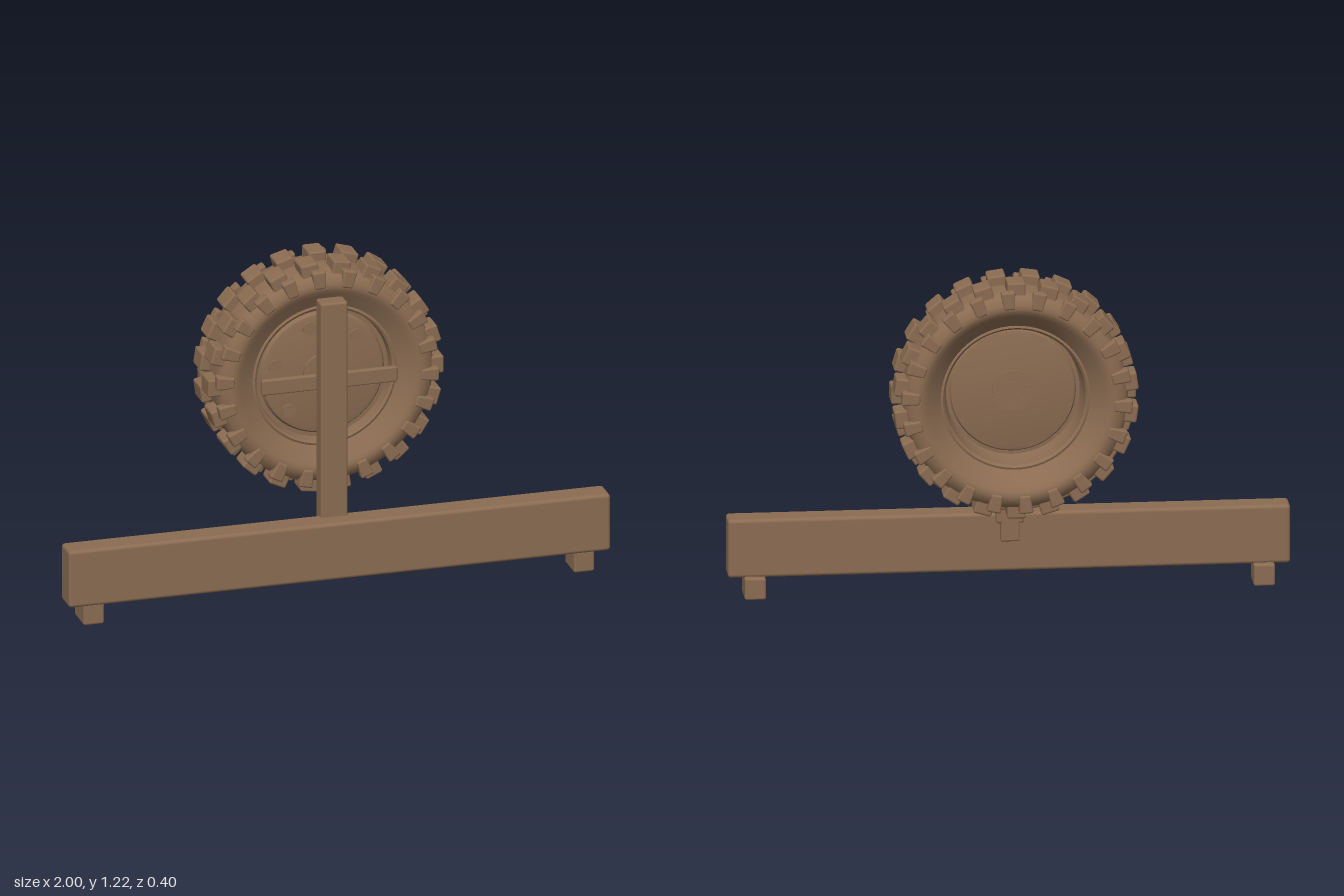
import * as THREE from 'three';
import { toCreasedNormals } from 'three/addons/utils/BufferGeometryUtils.js';
import { RoundedBoxGeometry } from 'three/addons/geometries/RoundedBoxGeometry.js';

const WHEEL_Y = 0.782;
const LUGS = 22;

export function createModel() {
  const model = new THREE.Group();
  model.name = 'spareWheelCarrier';
  const brown = new THREE.MeshStandardMaterial({ color: 0x8b6c52 });
  brown.name = 'brown';

  function add(parent, name, geometry, x = 0, y = 0, z = 0) {
    const mesh = new THREE.Mesh(geometry, brown);
    mesh.name = name;
    mesh.position.set(x, y, z);
    parent.add(mesh);
    return mesh;
  }

  // Rounded box given by its limits on each axis
  function block(name, [x0, x1], [y0, y1], [z0, z1], r = 0.01) {
    const g = new RoundedBoxGeometry(x1 - x0, y1 - y0, z1 - z0, 2, r);
    return add(model, name, g, (x0 + x1) / 2, (y0 + y1) / 2, (z0 + z1) / 2);
  }

  // Profile of [radius, z] turned around the wheel axis
  function turned(name, points) {
    const g = new THREE.LatheGeometry(points.map(([r, z]) => new THREE.Vector2(r, z)), 64);
    g.rotateX(Math.PI / 2);
    return add(wheel, name, toCreasedNormals(g, 0.55));
  }

  // Short cylinder along the wheel axis
  function stud(name, radius, z0, z1, x = 0, y = 0) {
    const g = new THREE.CylinderGeometry(radius, radius, z1 - z0, 24).rotateX(Math.PI / 2);
    return add(wheel, name, g, x, y, (z0 + z1) / 2);
  }

  // Bumper, feet and carrier
  block('bumper', [-1, 1], [0.075, 0.29], [0.1, 0.2], 0.013);
  for (const s of [-1, 1]) {
    block('foot', [s * 0.905 - 0.038, s * 0.905 + 0.038], [0, 0.08], [0.075, 0.19], 0.008);
  }
  block('post', [-0.05, 0.05], [0.26, 1.1], [0.066, 0.132], 0.009);
  block('postPeg', [-0.034, 0.034], [0.193, 0.275], [0.066, 0.11], 0.007);
  block('crossBar', [-0.25, 0.25], [0.753, 0.81], [0.053, 0.075], 0.006);

  const wheel = new THREE.Group();
  wheel.name = 'wheel';
  wheel.position.y = WHEEL_Y;
  model.add(wheel);

  // Tyre body from rear bead, over the tread, to front bead
  turned('tyre', [
    [0.266, -0.125], [0.29, -0.15], [0.315, -0.173], [0.332, -0.187], [0.345, -0.191],
    [0.36, -0.189], [0.383, -0.178], [0.396, -0.16], [0.4, -0.13], [0.401, -0.07],
    [0.4, -0.01], [0.396, 0.02], [0.383, 0.038], [0.36, 0.049], [0.345, 0.051],
    [0.332, 0.047], [0.315, 0.037], [0.29, 0.022], [0.266, 0.008],
  ]);
  // Rim, deep at the rear and shallow at the front
  turned('rimRear', [
    [0, -0.034], [0.205, -0.034], [0.22, -0.03], [0.225, -0.022], [0.238, -0.022],
    [0.244, -0.04], [0.25, -0.118], [0.258, -0.128], [0.266, -0.125],
  ]);
  turned('rimFront', [
    [0.266, 0.008], [0.258, 0.012], [0.25, 0.006], [0.245, -0.03], [0.23, -0.03],
    [0.222, -0.018], [0.205, -0.014], [0, -0.014],
  ]);

  // Hub and studs
  stud('hub', 0.075, -0.04, 0.0);
  stud('axle', 0.035, -0.044, 0.06);
  for (let i = 0; i < 6; i++) {
    const a = THREE.MathUtils.degToRad(46 + i * 60);
    stud('rimStud', 0.025, -0.03, -0.007, 0.18 * Math.cos(a), 0.18 * Math.sin(a));
    stud('hubBolt', 0.009, -0.046, 0.005, 0.055 * Math.cos(a), 0.055 * Math.sin(a));
  }

  // Ring of lugs; offset is a fraction of the spacing
  function lugRing(name, geometry, radius, z, offset) {
    for (let i = 0; i < LUGS; i++) {
      const a = (i + offset) / LUGS * Math.PI * 2;
      const lug = add(wheel, name, geometry, radius * Math.cos(a), radius * Math.sin(a), z);
      lug.rotation.z = a;
    }
  }
  const treadLug = new RoundedBoxGeometry(0.055, 0.066, 0.09, 2, 0.008);
  lugRing('treadLugFront', treadLug, 0.408, -0.016, 0);
  lugRing('treadLugRear', treadLug, 0.408, -0.122, 0.5);

  // Shoulder lugs narrow toward the wheel centre
  const shoulderLug = new RoundedBoxGeometry(0.066, 0.052, 0.04, 2, 0.008);
  const p = shoulderLug.attributes.position;
  for (let i = 0; i < p.count; i++) p.setY(i, p.getY(i) * (0.87 + p.getX(i) * 4));
  lugRing('shoulderLugFront', shoulderLug, 0.378, 0.038, 0.78);
  lugRing('shoulderLugRear', shoulderLug, 0.378, -0.178, 0.22);

  return model;
}
